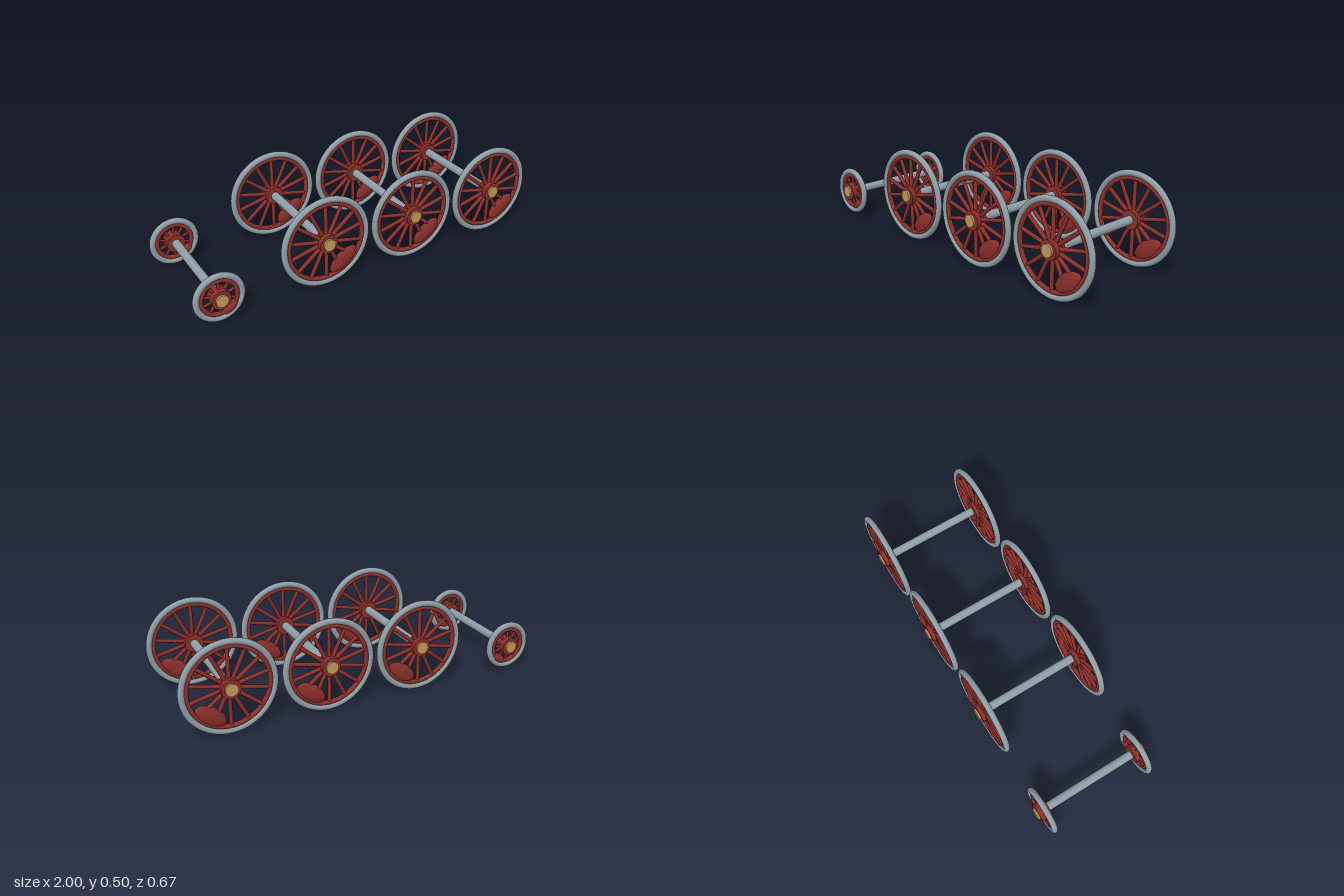
import * as THREE from 'three';

const steel = new THREE.MeshStandardMaterial({ color: 0x8f9fa7 });
steel.name = 'steel';
const red = new THREE.MeshStandardMaterial({ color: 0x8c2f2b });
red.name = 'red paint';
const brass = new THREE.MeshStandardMaterial({ color: 0xc39a5b });
brass.name = 'brass';

const TRACK = 0.29; // distance of each wheel from the centre line

function add(parent, name, geometry, material) {
  const mesh = new THREE.Mesh(geometry, material);
  mesh.name = name;
  parent.add(mesh);
  return mesh;
}

// A cylinder lying along z
function disc(radius, length, sides) {
  return new THREE.CylinderGeometry(radius, radius, length, sides).rotateX(Math.PI / 2);
}

// One spoked wheel facing along z; side is +1 for the front, -1 for the back
function makeWheel(radius, spokes, side) {
  const wheel = new THREE.Group();
  wheel.name = 'wheel';
  const tyreRadius = radius - 0.016;
  const rimRadius = radius - 0.04;

  add(wheel, 'tyre', new THREE.TorusGeometry(tyreRadius, 0.016, 12, 64), steel);
  add(wheel, 'rim', new THREE.TorusGeometry(rimRadius, 0.012, 10, 64), red);
  add(wheel, 'hub', disc(0.05, 0.062, 24), red).position.z = side * 0.001;
  add(wheel, 'hubCap', disc(0.033, 0.02, 12), brass).position.z = side * 0.033;

  // Spokes run from inside the hub to the rim
  const inner = 0.035;
  const length = rimRadius - inner;
  const thickness = radius > 0.2 ? 0.011 : 0.008;
  const spoke = new THREE.CylinderGeometry(thickness * 0.9, thickness, length, 8)
    .translate(0, inner + length / 2, 0);
  for (let i = 0; i < spokes; i++) {
    add(wheel, 'spoke', spoke, red).rotation.z = (i / spokes) * Math.PI * 2;
  }

  // Rounded counterweight tucked against the rim
  const scale = radius / 0.248;
  const angle = -0.93;
  const weight = add(wheel, 'counterweight', new THREE.SphereGeometry(1, 24, 16), red);
  weight.scale.set(0.046 * scale, 0.09 * scale, 0.02);
  weight.position.set(Math.cos(angle) * 0.166 * scale, Math.sin(angle) * 0.166 * scale, 0);
  weight.rotation.z = angle;
  return wheel;
}

// Two wheels joined by an axle
function makeWheelset(name, x, radius, spokes) {
  const set = new THREE.Group();
  set.name = name;
  set.position.set(x, radius + 0.001, 0);
  add(set, 'axle', disc(0.023, TRACK * 2, 20), steel);
  for (const side of [1, -1]) {
    const wheel = makeWheel(radius, spokes, side);
    wheel.position.z = side * TRACK;
    set.add(wheel);
  }
  return set;
}

export function createModel() {
  const model = new THREE.Group();
  model.name = 'wheelsets';
  model.add(makeWheelset('leadingWheelset', -0.867, 0.133, 10));
  for (const x of [-0.287, 0.2325, 0.752]) {
    model.add(makeWheelset('drivingWheelset', x, 0.248, 14));
  }
  return model;
}
